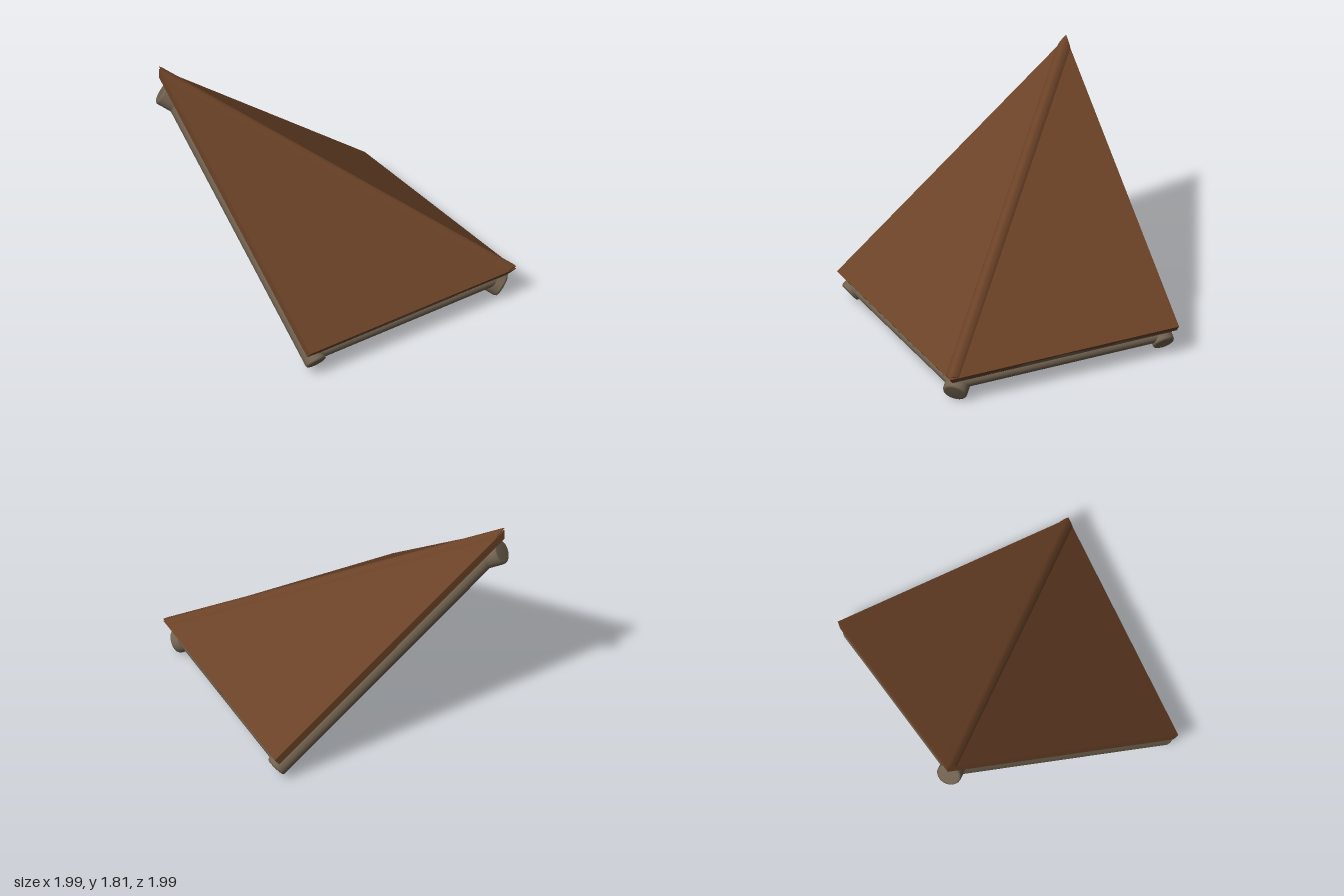
import * as THREE from 'three';

const EDGE = -0.94, EAVE = 0.99, SLOPE = 0.803;
const topY = (d) => 0.25 + SLOPE * (EAVE - d);        // roof surface
const underY = (d) => 0.2 + SLOPE * (0.95 - d);       // ceiling surface

export function createModel() {
  const model = new THREE.Group();
  model.name = 'roofCorner';
  const roof = new THREE.MeshStandardMaterial({ color: 0x6b4227, side: THREE.DoubleSide });
  roof.name = 'brown roof';
  const wood = new THREE.MeshStandardMaterial({ color: 0x716250, side: THREE.DoubleSide });
  wood.name = 'weathered wood';

  const add = (name, geo, mat) => {
    const mesh = new THREE.Mesh(geo, mat);
    mesh.name = name;
    model.add(mesh);
    return mesh;
  };

  // Flat faces from polygons; swap mirrors them across the hip (x <-> z)
  const faces = (polys, swap) => {
    const pos = [];
    for (const p of polys) {
      for (let i = 1; i < p.length - 1; i++) {
        const tri = [p[0], p[i], p[i + 1]];
        if (swap) tri.reverse();
        for (const [x, y, z] of tri) pos.push(...(swap ? [z, y, x] : [x, y, z]));
      }
    }
    const g = new THREE.BufferGeometry();
    g.setAttribute('position', new THREE.Float32BufferAttribute(pos, 3));
    g.computeVertexNormals();
    return g;
  };

  // Round log with softened ends between two points
  const log = (name, a, b, r, swap) => {
    const [p, q] = [a, b].map(([x, y, z]) => (swap ? new THREE.Vector3(z, y, x) : new THREE.Vector3(x, y, z)));
    const len = p.distanceTo(q), c = r * 0.2;
    const profile = [[0, 0], [r - c, 0], [r - c * 0.3, c * 0.3], [r, c],
      [r, len - c], [r - c * 0.3, len - c * 0.3], [r - c, len], [0, len]];
    const mesh = add(name, new THREE.LatheGeometry(profile.map(([x, y]) => new THREE.Vector2(x, y)), 24), wood);
    mesh.position.copy(p);
    mesh.quaternion.setFromUnitVectors(new THREE.Vector3(0, 1, 0), q.sub(p).normalize());
  };

  // Ragged lower edge of the boarding along the eave: position, height share
  const ragged = [[-0.9, 0], [-0.83, 0.3], [-0.6, 0.35], [-0.47, 0.75], [-0.38, 0.4], [-0.2, 0.5],
    [0.03, 0.95], [0.15, 0.6], [0.35, 0.8], [0.43, 0.1], [0.6, 0.08], [0.8, 0.2], [0.92, 0.4], [0.95, 0]];

  for (const swap of [false, true]) {
    const side = swap ? 'side' : 'front';
    const A = [EDGE, topY(EAVE), EAVE], B = [EAVE, topY(EAVE), EAVE], C = [EDGE, topY(EDGE), EDGE];
    const a = [EDGE, 0.2, 0.95], b = [0.95, 0.2, 0.95], c = [EDGE, underY(EDGE), EDGE];

    // Roof panel with eave and verge edges, and its wooden ceiling
    add(side + 'RoofPanel', faces([[A, B, C], [a, b, B, A], [c, a, A, C]], swap), roof);
    add(side + 'Ceiling', faces([[c, b, a]], swap), wood);

    const strip = [];
    for (let i = 0; i < ragged.length - 1; i++) {
      const pt = ([x, h]) => [x, 0.2 + 0.05 * h - 0.002, 0.95 + 0.04 * h + 0.003];
      const [s, t] = [ragged[i], ragged[i + 1]];
      strip.push([pt([s[0], 0]), pt([t[0], 0]), pt(t), pt(s)]);
    }
    add(side + 'EaveBoarding', faces(strip, swap), wood);

    // Verge rafter, eave purlin and middle purlin
    log(side + 'Rafter', [-0.84, 0.1, 0.935], [-0.84, 0.1 + SLOPE * 1.785, -0.85], 0.085, swap);
    log(side + 'EavePurlin', [-0.84, 0.158, 0.9], [0.88, 0.158, 0.9], 0.046, swap);
    log(side + 'MiddlePurlin', [-0.84, 0.905, 0], [0, 0.905, 0], 0.05, swap);
  }

  // Hip rafter below the ridge line
  log('hipRafter', [0.915, 0.085, 0.915], [-0.928, 1.59, -0.928], 0.095, false);

  // Raised cap along the hip: [distance from ridge, lift]
  const half = [[0.075, 0.001], [0.06, 0.014], [0.03, 0.022], [0, 0.02]];
  const section = [...half.map(([w, l]) => [w, l, 0]), ...half.slice(0, 3).reverse().map(([w, l]) => [w, l, 1])];
  const ring = (top) => section.map(([w, lift, mirrored]) => {
    const near = top ? EDGE : EAVE - w, far = top ? EDGE + w : EAVE;
    const y = topY(far) + lift;
    return mirrored ? [far, y, near] : [near, y, far];
  });
  const lo = ring(false), hi = ring(true), n = section.length;
  const cap = new THREE.BufferGeometry();
  cap.setAttribute('position', new THREE.Float32BufferAttribute([...lo, ...hi].flat(), 3));
  const index = [];
  for (let i = 0; i < n - 1; i++) index.push(i, i + 1, n + i, i + 1, n + i + 1, n + i);
  cap.setIndex(index);
  cap.computeVertexNormals();
  add('hipCap', cap, roof);

  // Closing faces at both ends of the cap
  const ends = [];
  for (let i = 0; i < n - 1; i++) {
    if (i === 2 || i === 3) continue;
    ends.push([lo[3], lo[i + 1], lo[i]], [hi[3], hi[i], hi[i + 1]]);
  }
  add('hipCapEnds', faces(ends, false), roof);

  return model;
}
